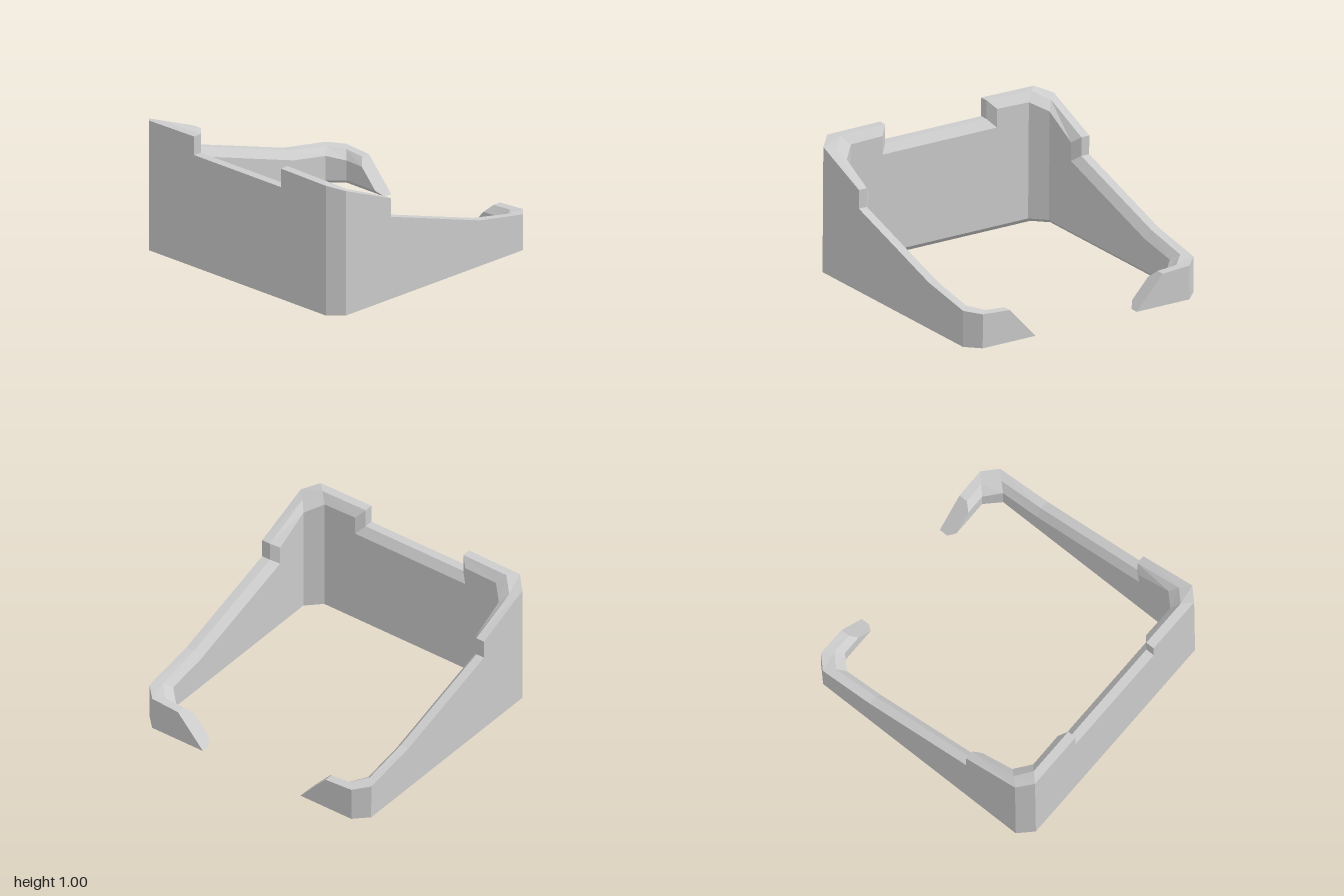
import * as THREE from 'three';

// Distances of the outer face, crest edge and inner face from the centre, and where their corners are cut
const FACE = [0.977, 0.91, 0.86];
const CUT = [0.877, 0.81, 0.755];
const BEVEL_BOTTOM = 0.045;

// One cross-section: plan positions [x, z] of outer, crest and inner lines plus their top heights
function station(plan, heights, bottomPlan = plan) {
  const top = plan.map(([x, z], i) => new THREE.Vector3(x, heights[i], z));
  const low = bottomPlan.map(([x, z], i) => new THREE.Vector3(x, i === 2 ? BEVEL_BOTTOM : 0, z));
  return [low[0], top[0], top[1], top[2], low[2], low[1]];
}

const backWall = (z, zInner, h, hInner) =>
  station(FACE.map((f, i) => [-f, i === 2 ? zInner : z]), [h, h, hInner]);
const sideWall = (x, xInner, h, hInner) =>
  station(FACE.map((f, i) => [i === 2 ? xInner : x, f]), [h, h, hInner]);

function halfStations() {
  return [
    // notch in the tall wall
    backWall(0.43, 0.485, 0.845, 0.785),
    backWall(0.43, 0.485, 0.985, 0.925),
    // tall cut corner
    station(FACE.map((f, i) => [-f, CUT[i]]), [0.98, 0.98, 0.918]),
    station(FACE.map((f, i) => [-CUT[i], f]), [0.94, 0.92, 0.86]),
    // step and slope of the side wall
    sideWall(-0.43, -0.485, 0.76, 0.715),
    sideWall(-0.43, -0.485, 0.62, 0.575),
    sideWall(0.45, 0.44, 0.345, 0.285),
    // low cut corner
    station(FACE.map((f, i) => [CUT[i], f]), [0.27, 0.277, 0.23]),
    station(FACE.map((f, i) => [f, CUT[i]]), [0.255, 0.252, 0.195]),
    // slanted end of the lip
    station(
      FACE.map((f, i) => [f, i === 2 ? 0.604 : 0.65]), [0.24, 0.24, 0.19],
      FACE.map((f, i) => [f, i === 2 ? 0.471 : 0.43])
    ),
  ];
}

// Joins the cross-sections into a closed, flat-shaded skin
function loft(rings) {
  const pos = [];
  const tri = (a, b, c) => {
    const area = b.clone().sub(a).cross(c.clone().sub(a)).length();
    if (area > 1e-8) for (const p of [a, b, c]) pos.push(p.x, p.y, p.z);
  };
  for (let s = 0; s < rings.length - 1; s++) {
    const a = rings[s], b = rings[s + 1], n = a.length;
    for (let j = 0; j < n; j++) {
      const k = (j + 1) % n;
      tri(a[j], a[k], b[k]);
      tri(a[j], b[k], b[j]);
    }
  }
  const first = rings[0], last = rings[rings.length - 1];
  for (let j = 1; j < first.length - 1; j++) {
    tri(first[0], first[j + 1], first[j]);
    tri(last[0], last[j], last[j + 1]);
  }
  const geo = new THREE.BufferGeometry();
  geo.setAttribute('position', new THREE.Float32BufferAttribute(pos, 3));
  geo.computeVertexNormals();
  return geo;
}

export function createModel() {
  const group = new THREE.Group();
  group.name = 'slopedFrame';

  const half = halfStations();
  const mirrored = half.map(r => r.map(p => new THREE.Vector3(p.x, p.y, -p.z)));
  const material = new THREE.MeshStandardMaterial({ color: 0xcccccc, flatShading: true });
  const wall = new THREE.Mesh(loft([...half.slice().reverse(), ...mirrored]), material);
  wall.name = 'wallWithLips';

  // the frame sits slightly turned and tilted
  wall.rotation.set(-0.005, -0.022, -0.004);
  wall.position.y = 0.011;
  group.add(wall);
  return group;
}
